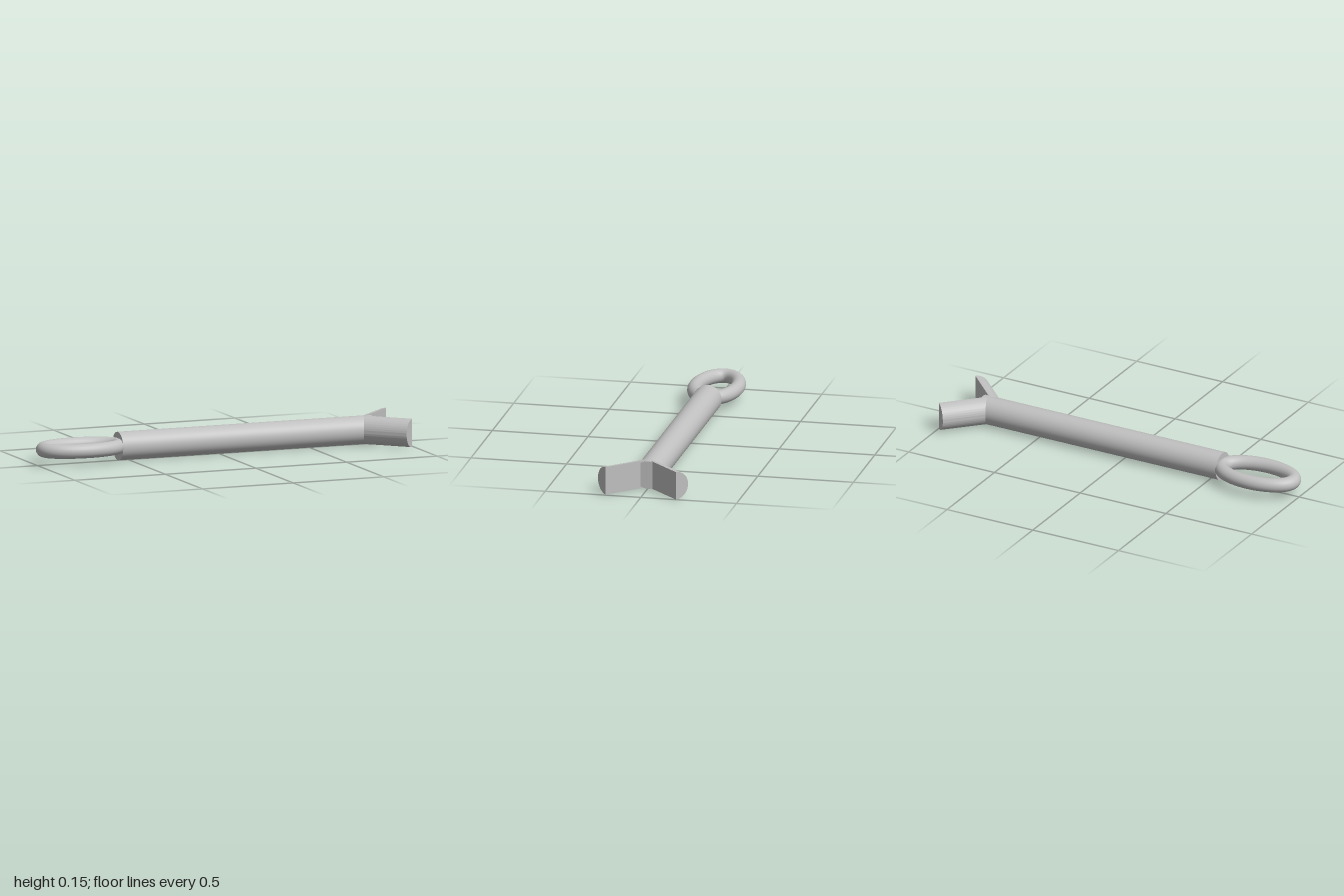
import * as THREE from 'three';
import { toCreasedNormals } from 'three/addons/utils/BufferGeometryUtils.js';

const R = 0.073; // shaft and prong radius
const Z = -0.003; // small sideways offset of the shaft and ring

export function createModel() {
  const group = new THREE.Group();
  const steel = new THREE.MeshStandardMaterial({ color: 0xc0c0c0 });
  steel.name = 'grey steel';

  const add = (name, geometry, x, y, z) => {
    const mesh = new THREE.Mesh(geometry, steel);
    mesh.name = name;
    mesh.position.set(x, y, z);
    group.add(mesh);
    return mesh;
  };

  // Round shaft lying along x
  const x0 = -0.555, x1 = 0.842;
  const shaft = new THREE.CylinderGeometry(R, R, x1 - x0, 64).rotateZ(Math.PI / 2);
  add('shaft', shaft, (x0 + x1) / 2, R, Z);

  // Oval ring handle, its inner end sunk into the shaft
  const points = [];
  for (let i = 0; i < 48; i++) {
    const a = (i / 48) * Math.PI * 2;
    points.push(new THREE.Vector3(0.203 * Math.cos(a), 0, 0.107 * Math.sin(a)));
  }
  const oval = new THREE.CatmullRomCurve3(points, true);
  add('ringHandle', new THREE.TubeGeometry(oval, 96, 0.037, 28, true), -0.76, 0.077, Z);

  // Half-round prongs splayed at 45 degrees, flat sides facing each other
  const addProng = (name, side, startX, endX) => {
    const shape = new THREE.Shape();
    const from = side > 0 ? Math.PI / 2 : -Math.PI / 2;
    shape.absarc(0, 0, R, from, from + Math.PI, false);
    shape.closePath();
    const solid = new THREE.ExtrudeGeometry(shape, {
      depth: (endX - startX) * Math.SQRT2, bevelEnabled: false, curveSegments: 32,
    });
    const prong = add(name, toCreasedNormals(solid, 0.5), startX, R, 0);
    prong.rotation.y = side > 0 ? Math.PI / 4 : (3 * Math.PI) / 4;
  };
  addProng('frontProng', 1, 0.805, 0.991);
  addProng('backProng', -1, 0.815, 0.999);

  return group;
}
